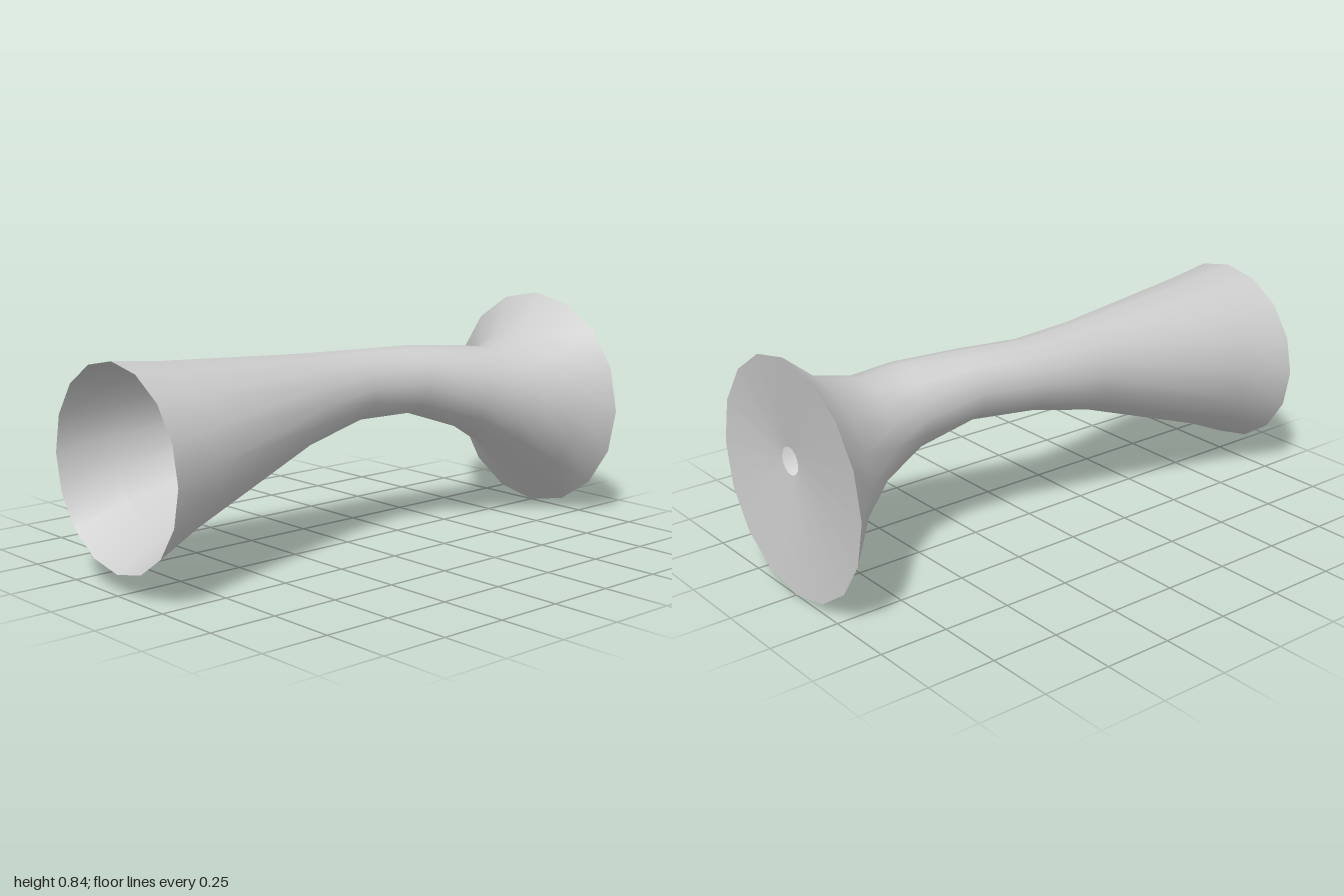
import * as THREE from 'three';

const SIDES = 16;

// Skin a list of elliptical rings [z, xMin, xMax, yMin, yMax], ordered front to back
function loft(name, rings, material) {
  const positions = [], index = [];
  rings.forEach(([z, x0, x1, y0, y1], r) => {
    for (let i = 0; i < SIDES; i++) {
      const a = (i / SIDES) * Math.PI * 2;
      positions.push((x0 + x1) / 2 + Math.cos(a) * (x1 - x0) / 2,
        (y0 + y1) / 2 + Math.sin(a) * (y1 - y0) / 2, z);
      if (r === 0) continue;
      const j = (i + 1) % SIDES, front = (r - 1) * SIDES, back = r * SIDES;
      index.push(front + i, back + i, front + j, front + j, back + i, back + j);
    }
  });
  const geometry = new THREE.BufferGeometry();
  geometry.setAttribute('position', new THREE.Float32BufferAttribute(positions, 3));
  geometry.setIndex(index);
  geometry.computeVertexNormals();
  const mesh = new THREE.Mesh(geometry, material);
  mesh.name = name;
  return mesh;
}

export function createModel() {
  const group = new THREE.Group();
  group.name = 'flaredTube';
  const material = new THREE.MeshStandardMaterial({ color: 0xcccccc, side: THREE.DoubleSide });
  const rim = [-1, -0.42, 0.42, 0.003, 0.845];

  // Bent tube: open mouth at the front, narrow waist, flared bell at the back
  group.add(loft('tubeBody', [
    [1, -0.35, 0.35, 0.075, 0.775],
    [0.8, -0.305, 0.29, 0.165, 0.755],
    [0.2, -0.2, 0.13, 0.385, 0.715],
    [-0.05, -0.165, 0.095, 0.445, 0.705],
    [-0.28, -0.11, 0.14, 0.452, 0.705],
    [-0.5, -0.08, 0.232, 0.375, 0.69],
    [-0.65, -0.1, 0.285, 0.28, 0.668],
    [-0.84, -0.235, 0.35, 0.14, 0.72],
    rim,
  ], material));

  // Shallow dished end plate with a small off-centre hole
  group.add(loft('endPlate', [rim, [-0.95, 0.028, 0.128, 0.4, 0.5]], material));
  return group;
}
